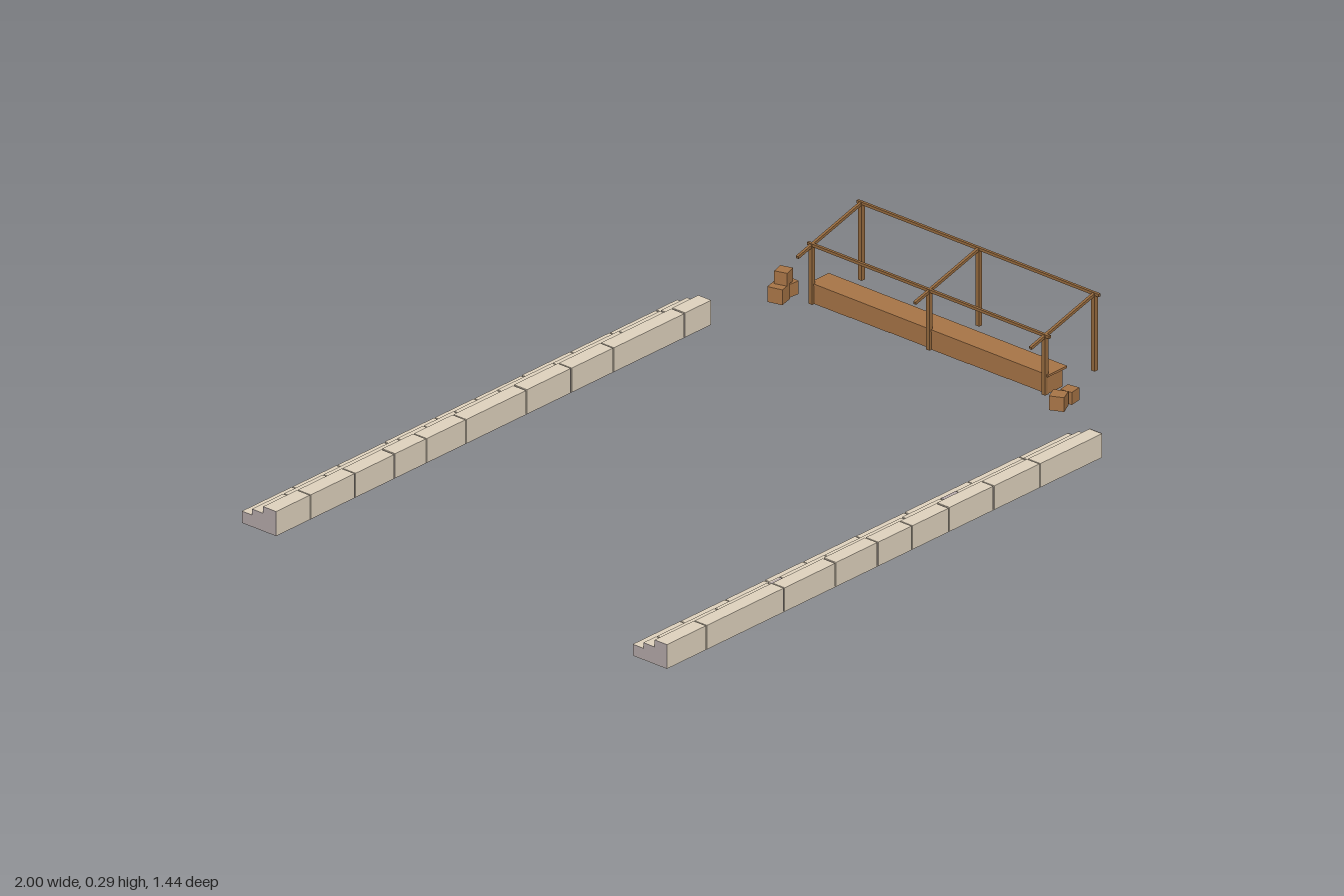
import * as THREE from 'three';

const mat = (name, color) => {
  const m = new THREE.MeshStandardMaterial({ color });
  m.name = name;
  return m;
};

export function createModel() {
  const stone = mat('beige stone', 0xe0d3be);
  const rubble = mat('grey stone', 0xb3a7a7);
  const wood = mat('warm wood', 0xa87547);
  const poleWood = mat('pole wood', 0x966a3e);
  const model = new THREE.Group();
  model.name = 'terracesAndStall';

  // Box given by its minimum and maximum corners
  function block(parent, name, material, x0, x1, y0, y1, z0, z1) {
    const mesh = new THREE.Mesh(new THREE.BoxGeometry(x1 - x0, y1 - y0, z1 - z0), material);
    mesh.position.set((x0 + x1) / 2, (y0 + y1) / 2, (z0 + z1) / 2);
    mesh.name = name;
    parent.add(mesh);
    return mesh;
  }

  // Stepped stone seating: a grey core that shows at the ends and in the joints
  const X0 = -1, X1 = 0.651, GAP = 0.002, INSET = 0.003;
  function terrace(name, base, zs, tops, joints, underside) {
    const g = new THREE.Group();
    g.name = name;
    for (let row = 0; row < 3; row++) {
      const z0 = zs[row], z1 = zs[row + 1];
      // the core stays behind every riser and reaches under the next step
      block(g, 'core', rubble, X0, X1, base + 0.001, tops[row] - INSET,
        z0 + INSET, row < 2 ? z1 + INSET : z1 - INSET);
      const edges = [X0 + 0.001 - GAP, ...joints[row], X1 - 0.001 + GAP];
      for (let i = 0; i < edges.length - 1; i++) {
        block(g, 'stoneBlock', stone, edges[i] + GAP, edges[i + 1] - GAP,
          base + 0.001, tops[row] - (i % 3) * 0.0005, z0, z1);
      }
      // grey end faces, flush with the step outline
      for (const [a, b] of [[X0, X0 + 0.001], [X1 - 0.001, X1]]) {
        block(g, 'endFace', rubble, a, b, base + 0.001, tops[row], z0, z1);
      }
    }
    block(g, 'underside', underside, X0, X1, base, base + 0.001, zs[0], zs[3]);
    model.add(g);
    return g;
  }
  const front = terrace('frontTerrace', 0.055, [0.606, 0.642, 0.68, 0.722], [0.087, 0.103, 0.123], [
    [-0.82, -0.65, -0.5, -0.355, -0.155, 0.03, 0.27, 0.465],
    [-0.95, -0.73, -0.53, -0.485, -0.315, -0.02, 0.125, 0.185, 0.44],
    [-0.85, -0.555, -0.36, -0.2, -0.07, 0.07, 0.24, 0.415],
  ], stone);
  for (const [a, b, z0] of [[-0.528, -0.487, 0.648], [0.127, 0.183, 0.643]]) {
    block(front, 'greyPatch', rubble, a, b, 0.101, 0.1035, z0, 0.677);
  }
  terrace('backTerrace', 0, [-0.722, -0.688, -0.65, -0.606], [0.033, 0.05, 0.069], [
    [-0.81, -0.64, -0.46, -0.27, -0.12, 0.06, 0.245, 0.395, 0.57],
    [-0.88, -0.73, -0.45, -0.35, -0.235, -0.07, 0.14, 0.39, 0.55],
    [-0.87, -0.7, -0.55, -0.43, -0.28, -0.05, 0.12, 0.28, 0.55],
  ], rubble);

  // Stall counter: a row of six touching boxes under a plank
  const stall = new THREE.Group();
  stall.name = 'stall';
  model.add(stall);
  const Z0 = -0.407, Z1 = 0.396, step = (Z1 - Z0) / 6;
  for (let i = 0; i < 6; i++) {
    block(stall, 'counterBox', wood, 0.807, 0.861 + (i % 2) * 0.003, 0.07 + (i % 3) * 0.001, 0.121,
      Z0 + i * step, Z0 + (i + 1) * step);
  }
  block(stall, 'counterTop', wood, 0.805, 0.878, 0.121, 0.127, -0.41, 0.4);

  // Posts, rafters and rails of the open roof frame
  const T = 0.004;
  for (const z of [-0.402, -0.003, 0.39]) {
    block(stall, 'tallPost', poleWood, 0.987, 0.999, 0.07, 0.285, z - 0.006, z + 0.006);
    block(stall, 'shortPost', poleWood, 0.799, 0.811, 0.07, 0.235, z - 0.006, z + 0.006);
    const dx = 0.247, dy = 0.067;
    const rafter = new THREE.Mesh(new THREE.BoxGeometry(Math.hypot(dx, dy), 0.008, 0.008), poleWood);
    rafter.position.set(0.873, 0.253, z);
    rafter.rotation.z = Math.atan2(dy, dx);
    rafter.name = 'rafter';
    stall.add(rafter);
  }
  for (const [x, y] of [[0.993, 0.286], [0.805, 0.236]]) {
    block(stall, 'rail', poleWood, x - T, x + T, y - T, y + T, -0.415, 0.407);
  }

  // Loose crates: x, bottom y, z, size, turn
  const crates = [
    [0.77, 0.07, 0.468, 0.04, 0.45], [0.819, 0.07, 0.462, 0.035, 0.15],
    [0.763, 0.07, -0.477, 0.043, 0.25], [0.807, 0.07, -0.484, 0.037, -0.1],
    [0.784, 0.113, -0.479, 0.036, 0.3],
  ];
  for (const [x, y, z, s, turn] of crates) {
    const crate = block(model, 'crate', wood, x - s / 2, x + s / 2, y, y + s, z - s / 2, z + s / 2);
    crate.rotation.y = turn;
  }
  return model;
}
